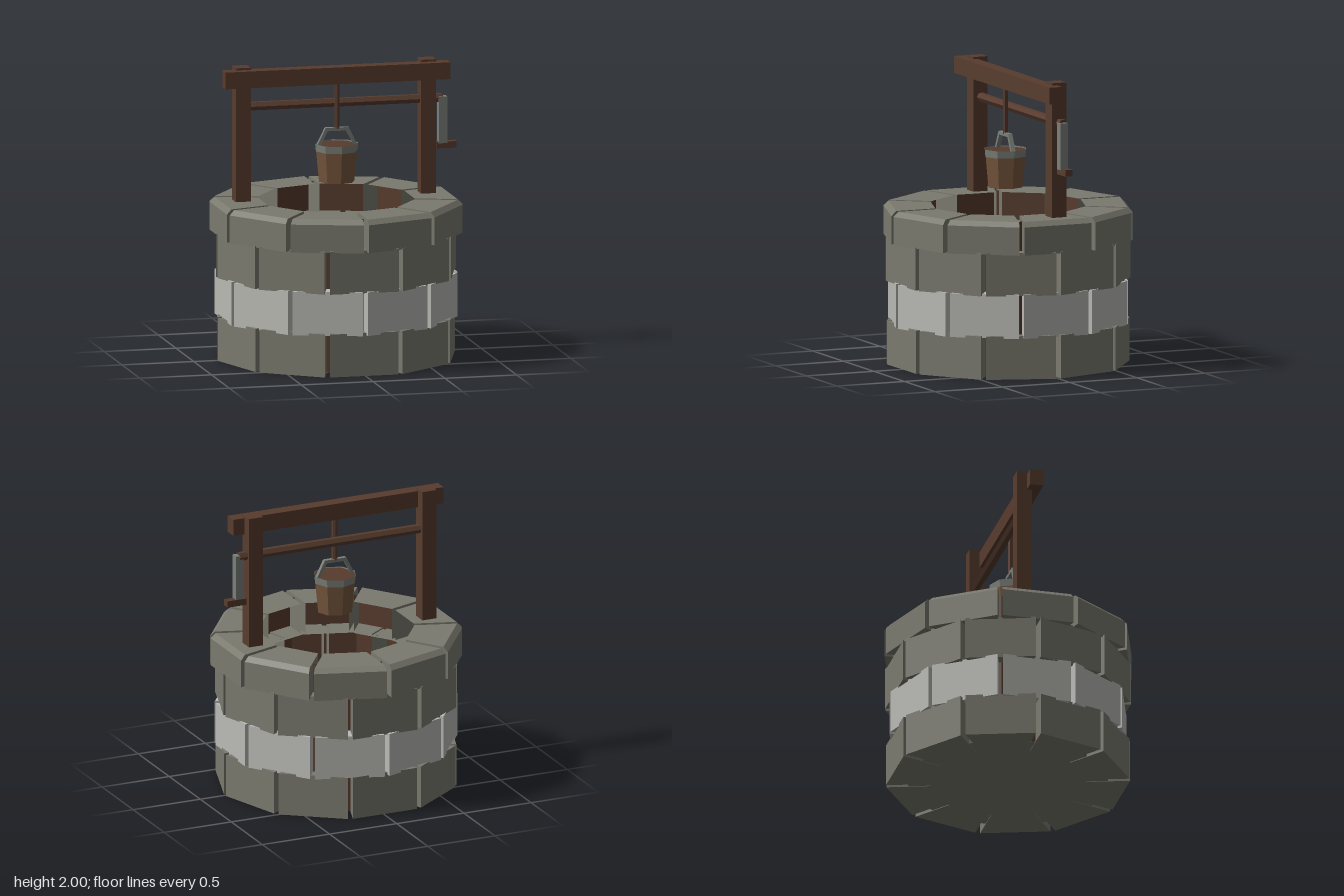
import * as THREE from 'three';

const mat = (name, color) => {
  const m = new THREE.MeshStandardMaterial({ color, flatShading: true, side: THREE.DoubleSide });
  m.name = name;
  return m;
};

const N = 10, HALF = Math.PI / N, CX = -0.01;

// One wall stone: radial profile (distance, height) widened to a wedge, open towards the shaft
function stoneGeometry(profile, gap) {
  const pos = [], index = [], n = profile.length;
  for (const side of [-1, 1])
    for (const [d, y] of profile) pos.push(d, y, side * (d * Math.tan(HALF) - gap / 2));
  for (let i = 0; i < n - 1; i++) index.push(i, i + 1 + n, i + 1, i, i + n, i + 1 + n);
  for (let i = 1; i < n - 1; i++) index.push(0, i, i + 1, n, n + i + 1, n + i);
  // inner-facing edge stays open; wedge sides are closed above
  const g = new THREE.BufferGeometry();
  g.setAttribute('position', new THREE.Float32BufferAttribute(pos, 3));
  g.setIndex(index.reverse());
  const flat = g.toNonIndexed();
  flat.computeVertexNormals();
  return flat;
}

export function createModel() {
  const stone = mat('dark stone', 0x7a7a6f);
  const paleStone = mat('pale stone', 0xbabab5);
  const wood = mat('dark wood', 0x583c2e);
  const bucketWood = mat('bucket wood', 0x75563d);
  const metal = mat('metal', 0x7b8079);

  const model = new THREE.Group();
  model.name = 'well';
  const add = (name, geo, material, x = 0, y = 0, z = 0, parent = model) => {
    const m = new THREE.Mesh(geo, material);
    m.name = name;
    m.position.set(x, y, z);
    parent.add(m);
    return m;
  };
  // Box given by its min and max corners
  const box = (name, material, x0, x1, y0, y1, z0, z1) =>
    add(name, new THREE.BoxGeometry(x1 - x0, y1 - y0, z1 - z0), material,
      (x0 + x1) / 2, (y0 + y1) / 2, (z0 + z1) / 2);

  // Stone courses, alternate ones turned by half a stone
  const courses = [
    { name: 'baseCourse', y0: 0, y1: 0.295, d: 0.79, turn: 0.5, material: stone },
    { name: 'paleCourse', y0: 0.28, y1: 0.58, d: 0.788, turn: 0, material: paleStone },
    { name: 'upperCourse', y0: 0.57, y1: 0.865, d: 0.795, turn: 0.5, material: stone },
    { name: 'rimCourse', y0: 0.855, y1: 1.08, d: 0.82, turn: 0, material: stone, bevel: 0.033 },
  ];
  for (const c of courses) {
    const group = new THREE.Group();
    group.name = c.name;
    group.position.x = CX;
    const outer = c.bevel
      ? [[c.d, c.y1 - c.bevel], [c.d - c.bevel, c.y1]]
      : [[c.d, c.y1]];
    const geo = stoneGeometry([[0.51, c.y0], [c.d, c.y0], ...outer, [0.51, c.y1]], 0.036);
    for (let i = 0; i < N; i++)
      add('stone', geo, c.material, 0, 0, 0, group).rotation.y = (i + c.turn) * 2 * HALF;
    model.add(group);
  }

  // Shaft lining and floor; corners line up with the rim joints
  add('shaftLining', new THREE.CylinderGeometry(0.71, 0.71, 1.06, N, 1, true), wood, CX, 0.535, 0);
  const floor = add('shaftFloor', new THREE.CircleGeometry(0.71, N), stone, CX, 0.004, 0);
  floor.rotation.set(-Math.PI / 2, 0, HALF);

  // Timber frame
  box('rightPost', wood, -0.705, -0.6, 1.06, 2, -0.115, -0.01);
  box('leftPost', wood, 0.585, 0.69, 1.06, 2, -0.115, -0.01);
  box('crossBeam', wood, -0.79, 0.775, 1.87, 1.985, -0.045, 0.048);

  // Axle and crank
  const axle = add('axle', new THREE.CylinderGeometry(0.032, 0.032, 1.36, 6), wood, 0.065, 1.725, -0.068);
  axle.rotation.z = Math.PI / 2;
  box('crankArm', metal, 0.715, 0.775, 1.415, 1.735, -0.09, -0.035);
  box('crankHandle', wood, 0.7, 0.84, 1.38, 1.425, -0.092, -0.04);

  // Rope and bucket
  add('rope', new THREE.CylinderGeometry(0.019, 0.019, 0.32, 6), wood, -0.008, 1.72, 0.02);
  const bucket = new THREE.Group();
  bucket.name = 'bucket';
  bucket.position.set(-0.01, 0, 0.02);
  model.add(bucket);
  add('bucketBody', new THREE.CylinderGeometry(0.144, 0.123, 0.215, 8), bucketWood, 0, 1.3075, 0, bucket);
  add('bucketBand', new THREE.CylinderGeometry(0.15, 0.145, 0.05, 8, 1, true), metal, 0, 1.435, 0, bucket);
  const fill = add('bucketInside', new THREE.CircleGeometry(0.147, 8), wood, 0, 1.452, 0, bucket);
  fill.rotation.x = -Math.PI / 2;

  // Bail: flat angular strap
  const bail = new THREE.Shape([[-0.145, 1.44], [-0.08, 1.57], [0.08, 1.57], [0.145, 1.44],
    [0.122, 1.44], [0.065, 1.547], [-0.065, 1.547], [-0.122, 1.44]]
    .map(([x, y]) => new THREE.Vector2(x, y)));
  add('bucketBail', new THREE.ExtrudeGeometry(bail, { depth: 0.03, bevelEnabled: false }),
    metal, 0, 0, -0.015, bucket);

  return model;
}
